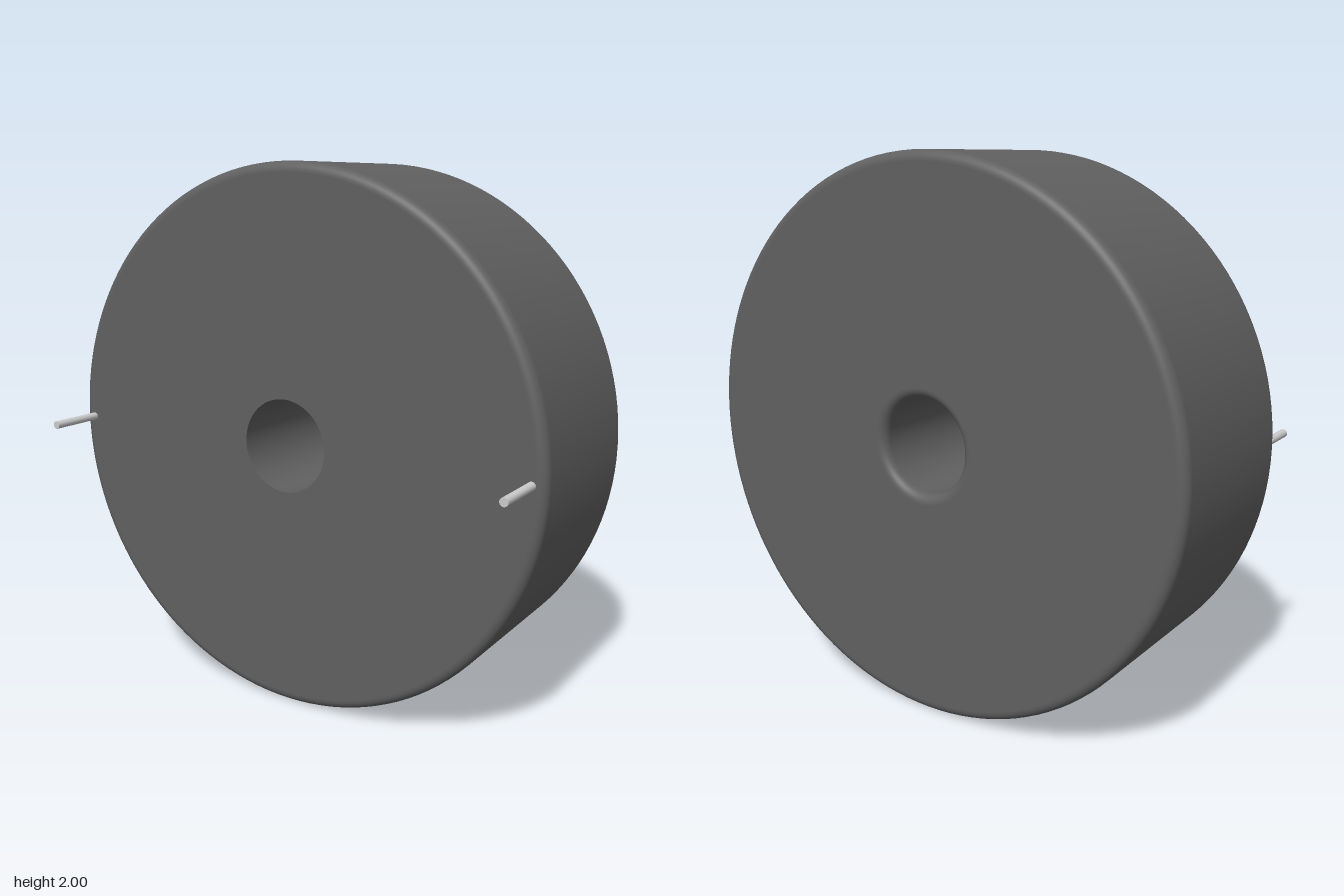
import * as THREE from 'three';

const BACK = -0.455, FRONT = 0.245, TIP = 0.455;
const OUTER = 1, HOLE = 0.172, FILLET = 0.035;

// Quarter-round edge, with close lead-in points so flat faces keep flat shading
function fillet(cx, cy, r, from, to) {
  const at = (a) => new THREE.Vector2(cx + r * Math.cos(a), cy + r * Math.sin(a));
  const dir = Math.sign(to - from), e = 0.001;
  const lead = (a, s) => at(a).add(new THREE.Vector2(-Math.sin(a), Math.cos(a)).multiplyScalar(s * dir * e));
  const pts = [lead(from, -1)];
  for (let i = 0; i <= 8; i++) pts.push(at(from + (to - from) * i / 8));
  pts.push(lead(to, 1));
  return pts;
}

export function createModel() {
  const model = new THREE.Group();
  model.name = 'buzzer';

  // Round housing: one turned profile (radius, depth) with a central hole
  const r = FILLET, q = Math.PI / 2;
  const profile = [
    new THREE.Vector2(HOLE, FRONT),
    ...fillet(HOLE + r, BACK + r, r, 2 * q, 3 * q).map((p) => p),
    ...fillet(OUTER - r, BACK + r, r, -q, 0),
    ...fillet(OUTER - r, FRONT - r, r, 0, q),
    new THREE.Vector2(HOLE, FRONT),
  ];
  const housing = new THREE.Mesh(
    new THREE.LatheGeometry(profile, 128).rotateX(q),
    new THREE.MeshStandardMaterial({ color: 0x606060 })
  );
  housing.name = 'housing';
  housing.position.y = 1;
  model.add(housing);

  // Two thin contact pins on the front, near the rim
  const pinMaterial = new THREE.MeshStandardMaterial({ color: 0xcccccc });
  const start = FRONT - 0.01;
  const pinGeometry = new THREE.CylinderGeometry(0.015, 0.015, TIP - start, 24).rotateX(q);
  for (const side of [-1, 1]) {
    const pin = new THREE.Mesh(pinGeometry, pinMaterial);
    pin.name = side > 0 ? 'leftPin' : 'rightPin';
    pin.position.set(side * 0.95, 1, (TIP + start) / 2);
    model.add(pin);
  }
  return model;
}
